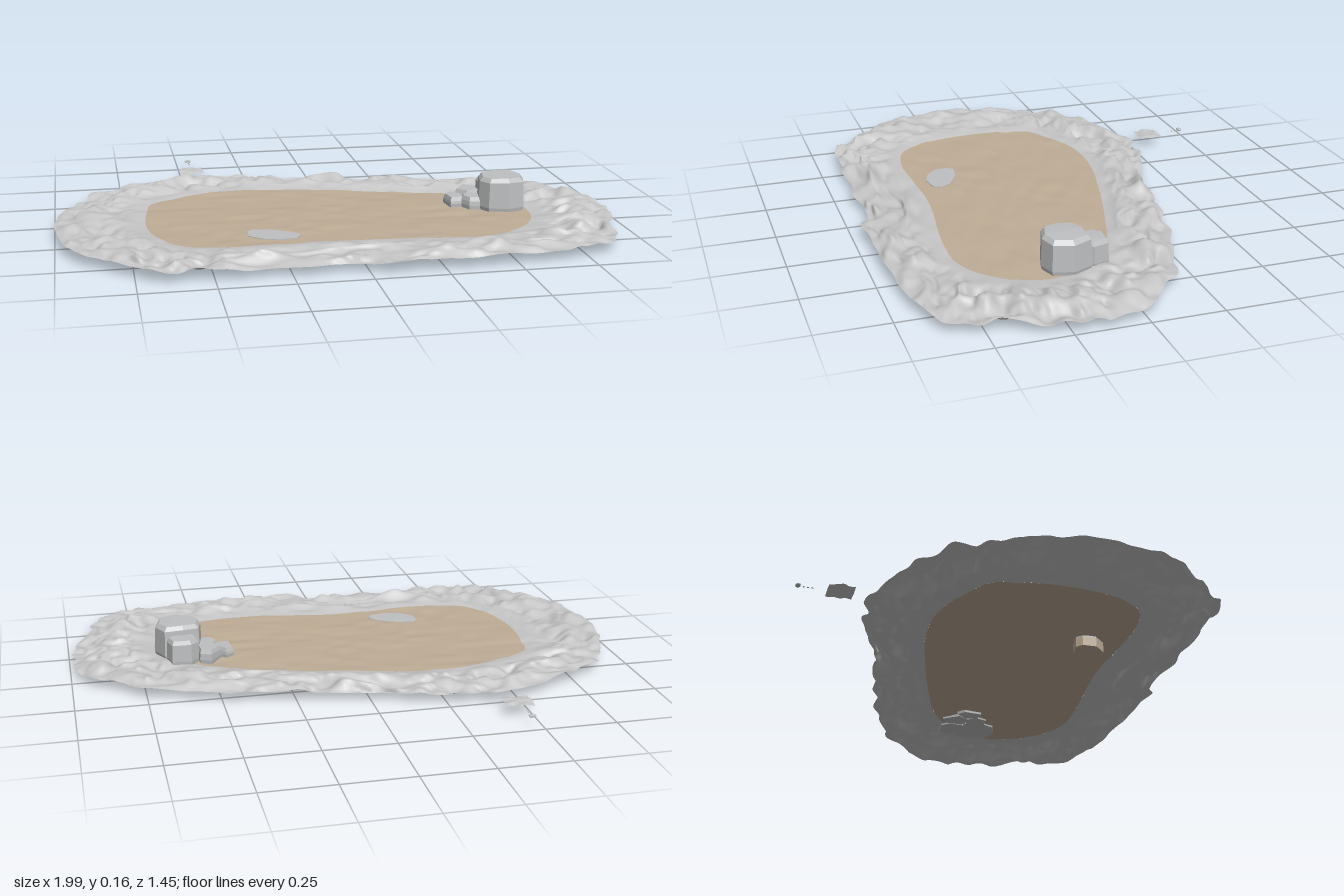
import * as THREE from 'three';
import { ConvexGeometry } from 'three/addons/geometries/ConvexGeometry.js';

const LEVEL = 0.037; // height of the sand

const mat = (name, color, side = THREE.FrontSide) =>
  new THREE.MeshStandardMaterial({ name, color, side });

// Seeded value noise; px wraps the first axis when given
function hash(i, j) {
  const s = Math.sin(i * 127.1 + j * 311.7) * 43758.5453;
  return s - Math.floor(s);
}
function noise(x, y, px = 0) {
  const i = Math.floor(x), j = Math.floor(y);
  const ease = (t) => t * t * (3 - 2 * t);
  const u = ease(x - i), v = ease(y - j);
  const h = (a, b) => hash(px ? ((a % px) + px) % px : a, b);
  const top = h(i, j) * (1 - u) + h(i + 1, j) * u;
  const low = h(i, j + 1) * (1 - u) + h(i + 1, j + 1) * u;
  return (top * (1 - v) + low * v) * 2 - 1;
}
const sandHeight = (x, z) => LEVEL + 0.003 * noise(x * 14, z * 22);

// Closed surface of nu x nt quads from a point rule, t running outward
function sheet(nu, nt, rule) {
  const pos = [], index = [];
  for (let j = 0; j <= nt; j++)
    for (let i = 0; i < nu; i++) pos.push(...rule(i / nu, j / nt));
  for (let j = 0; j < nt; j++)
    for (let i = 0; i < nu; i++) {
      const a = j * nu + i, b = j * nu + ((i + 1) % nu);
      index.push(a, b, a + nu, b, b + nu, a + nu);
    }
  const g = new THREE.BufferGeometry();
  g.setAttribute('position', new THREE.Float32BufferAttribute(pos, 3));
  g.setIndex(index);
  g.computeVertexNormals();
  return g;
}

const loop = (pts) => new THREE.CatmullRomCurve3(
  pts.map(([x, z]) => new THREE.Vector3(x, 0, z)), true, 'centripetal');

// Matching outlines of the rocky rim and the sand
const outer = loop([
  [-0.42, -0.485], [-0.18, -0.44], [0.09, -0.37], [0.33, -0.31], [0.62, -0.235],
  [0.86, -0.11], [0.975, 0.08], [0.98, 0.24], [0.915, 0.455], [0.835, 0.63],
  [0.57, 0.68], [0.22, 0.72], [-0.1, 0.675], [-0.48, 0.68], [-0.7, 0.64],
  [-0.89, 0.48], [-0.98, 0.27], [-0.985, 0], [-0.9, -0.24], [-0.7, -0.395]]);
const inner = loop([
  [-0.39, -0.24], [-0.21, -0.24], [0.06, -0.18], [0.27, -0.12], [0.49, -0.04],
  [0.61, 0.06], [0.68, 0.16], [0.68, 0.26], [0.645, 0.35], [0.58, 0.42],
  [0.47, 0.475], [0.3, 0.48], [-0.05, 0.44], [-0.45, 0.45], [-0.58, 0.41],
  [-0.65, 0.31], [-0.685, 0.16], [-0.67, -0.03], [-0.65, -0.12], [-0.51, -0.2]]);

// Rugged rim: noise grows away from the sand and folds outward
function rimPoint(u, t) {
  const a = inner.getPoint(u), b = outer.getPoint(u);
  const out = b.clone().sub(a).normalize();
  const p = a.lerp(b, t);
  const rough = THREE.MathUtils.smoothstep(t, 0.08, 0.45);
  const coarse = noise(u * 60, t * 5, 60);
  const fine = noise(u * 130, t * 10 + 40, 130);
  const shift = rough * (0.016 * noise(u * 70, t * 4 + 80, 70) + 0.006 * fine);
  p.addScaledVector(out, shift);
  const swell = 0.012 * Math.sin(Math.PI * t) - 0.002 * t;
  const edge = 1 - 0.55 * THREE.MathUtils.smoothstep(t, 0.85, 1);
  const y = sandHeight(p.x, p.z) + swell + rough * edge * (0.021 * coarse + 0.011 * fine);
  return [p.x, Math.max(0.008, y), p.z];
}

// Smooth sand bed filling the inner outline
function sandPoint(u, t) {
  const p = new THREE.Vector3(0, 0, 0.13).lerp(inner.getPoint(u), t);
  return [p.x, sandHeight(p.x, p.z), p.z];
}

// Faceted block: footprint, bevelled shoulder and a slightly tilted top
function boulder(foot, top) {
  const cx = foot.reduce((s, p) => s + p[0], 0) / foot.length;
  const cz = foot.reduce((s, p) => s + p[1], 0) / foot.length;
  const pts = [];
  const ring = (scale, y, tilt) => foot.forEach(([x, z]) => pts.push(new THREE.Vector3(
    cx + (x - cx) * scale, y - tilt * Math.abs(x - cx), cz + (z - cz) * scale)));
  ring(0.95, 0.03, 0);
  ring(1, 0.05, 0);
  ring(0.96, top - 0.014, 0.06);
  ring(0.82, top, 0.04);
  return new ConvexGeometry(pts);
}

export function createModel() {
  const model = new THREE.Group();
  const rock = mat('rock grey', 0xc6c6c6, THREE.DoubleSide);
  const sand = mat('sand', 0xbfad96, THREE.DoubleSide);
  const stone = mat('stone grey', 0xbebfc0);
  const add = (name, geometry, material, parent = model) => {
    const m = new THREE.Mesh(geometry, material);
    m.name = name;
    parent.add(m);
    return m;
  };

  add('rockyRim', sheet(440, 24, rimPoint), rock);
  add('sandBed', sheet(160, 24, sandPoint), sand);

  // Cluster of boulders at one end
  const cluster = new THREE.Group();
  cluster.name = 'boulders';
  model.add(cluster);
  [
    ['tallBoulder', 0.16, [[0.53, 0.09], [0.59, 0.07], [0.66, 0.07], [0.69, 0.14],
      [0.67, 0.21], [0.61, 0.23], [0.54, 0.21], [0.515, 0.16]]],
    ['backBoulder', 0.128, [[0.54, 0.03], [0.57, 0], [0.64, 0.005], [0.655, 0.06],
      [0.62, 0.11], [0.55, 0.1]]],
    ['lowBoulder', 0.088, [[0.455, 0.05], [0.5, -0.01], [0.54, 0.01], [0.545, 0.08], [0.49, 0.1]]],
    ['sideBoulder', 0.075, [[0.41, 0.06], [0.44, 0.035], [0.48, 0.08], [0.47, 0.125], [0.42, 0.13]]],
    ['frontBoulder', 0.082, [[0.46, 0.12], [0.49, 0.08], [0.55, 0.1], [0.54, 0.17], [0.48, 0.165]]],
  ].forEach(([name, top, foot]) => add(name, boulder(foot, top), stone, cluster));

  // Sunken stone: sand-coloured sides with a grey top level with the sand
  const outline = new THREE.Shape([
    [-0.35, 0.29], [-0.33, 0.272], [-0.26, 0.285], [-0.195, 0.32], [-0.17, 0.36],
    [-0.19, 0.39], [-0.25, 0.4], [-0.31, 0.38], [-0.35, 0.34],
  ].map(([x, z]) => new THREE.Vector2(x, -z)));
  const slab = (depth, y) => new THREE.ExtrudeGeometry(outline, { depth, bevelEnabled: false })
    .rotateX(-Math.PI / 2).translate(0, y, 0);
  add('sunkenStoneBase', slab(0.034, 0), sand);
  add('sunkenStoneTop', slab(0.005, 0.034), stone);

  // Small loose patch of rocky ground behind the rim
  const patch = new THREE.PlaneGeometry(0.092, 0.088, 10, 10)
    .rotateX(-Math.PI / 2).translate(-0.461, 0.038, -0.584);
  const p = patch.attributes.position;
  for (let i = 0; i < p.count; i++)
    p.setY(i, 0.038 + 0.006 * noise(p.getX(i) * 30, p.getZ(i) * 50));
  patch.computeVertexNormals();
  add('loosePatch', patch, rock);

  // Pebble and crumbs leading away from it
  add('pebble', new THREE.IcosahedronGeometry(0.013, 0).scale(1.2, 0.5, 0.8)
    .translate(-0.462, 0.041, -0.724), stone);
  [[-0.462, -0.705], [-0.46, -0.691], [-0.461, -0.677]].forEach(([x, z]) =>
    add('crumb', new THREE.IcosahedronGeometry(0.004, 0).scale(1, 0.4, 1).translate(x, 0.038, z), stone));

  return model;
}
